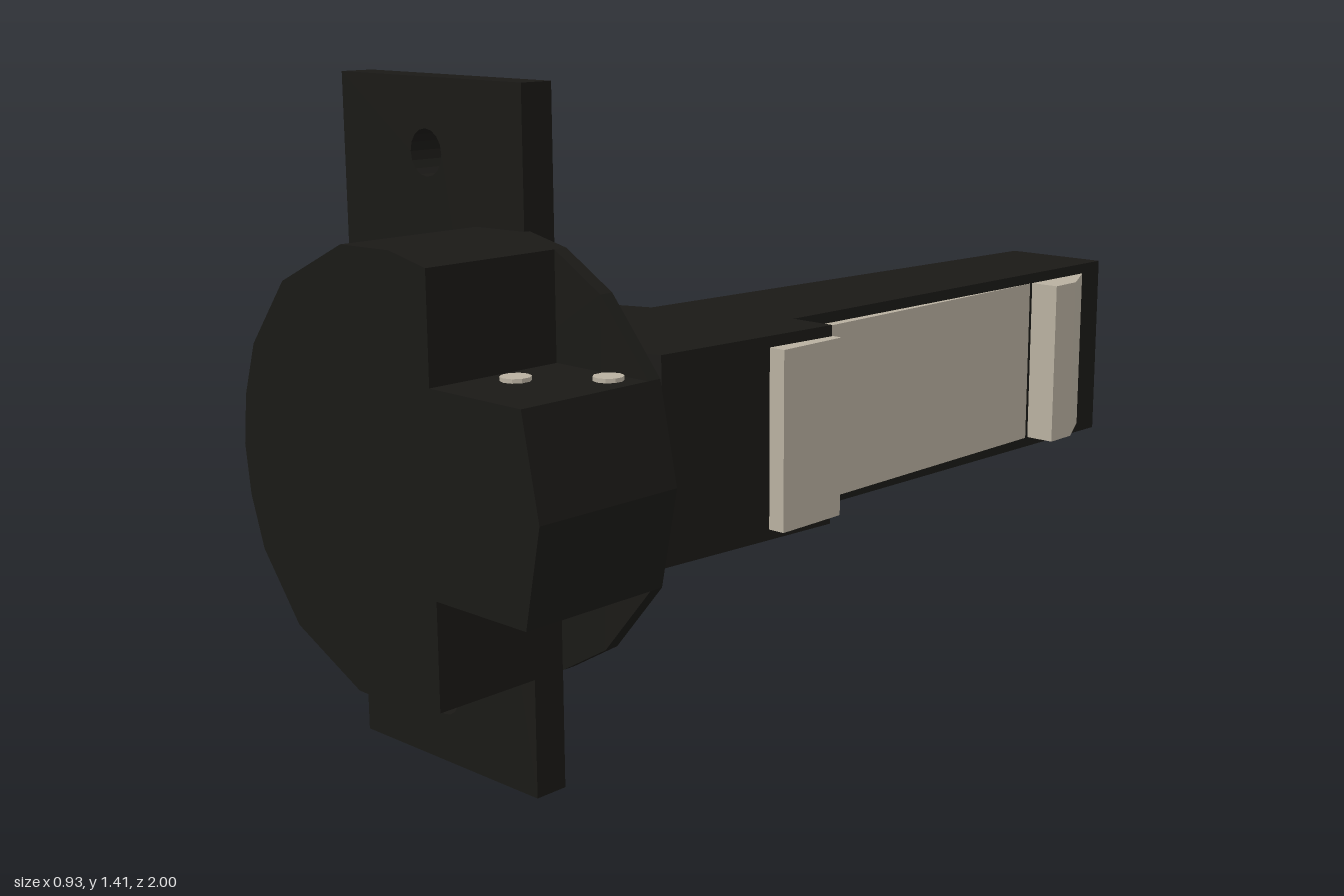
import * as THREE from 'three';

const dark = new THREE.MeshStandardMaterial({ color: 0x1a1916, flatShading: true });
const beige = new THREE.MeshStandardMaterial({ color: 0xb8b0a0, flatShading: true });
const MID = 0.708;

const shapeOf = (pts) => new THREE.Shape(pts.map(([x, y]) => new THREE.Vector2(x, y)));

export function createModel() {
  const model = new THREE.Group();

  const add = (name, geometry, material) => {
    const mesh = new THREE.Mesh(geometry, material);
    mesh.name = name;
    model.add(mesh);
    return mesh;
  };
  // Outline drawn in x, y and pushed along z
  const frontExtrude = (name, shape, z0, z1, material) => {
    const geo = new THREE.ExtrudeGeometry(shape, { depth: z1 - z0, bevelEnabled: false, curveSegments: 8 });
    return add(name, geo.translate(0, 0, z0), material);
  };
  // Outline drawn in x, z and pushed up along y
  const planExtrude = (name, pts, y0, y1, material) => {
    const shape = shapeOf(pts.map(([x, z]) => [x, -z]));
    const geo = new THREE.ExtrudeGeometry(shape, { depth: y1 - y0, bevelEnabled: false });
    return add(name, geo.rotateX(-Math.PI / 2).translate(0, y0, 0), material);
  };

  // Mounting plate with two screw holes
  const plate = shapeOf([[-0.465, 0], [0.078, 0], [0.078, 1.412], [-0.465, 1.412]]);
  for (const y of [0.15, 1.265]) {
    const hole = new THREE.Path();
    hole.absarc(-0.205, y, 0.047, 0, Math.PI * 2, true);
    plate.holes.push(hole);
  }
  frontExtrude('mountingPlate', plate, 0.607, 0.682, dark);

  // Cup: upper half outlines, mirrored about the middle height
  const mirrored = (pts) => [
    ...pts.map(([x, h]) => [x, MID + h]),
    ...pts.filter(([, h]) => h > 0).reverse().map(([x, h]) => [x, MID - h]),
  ];
  const leftArc = [[0.18, 0.407], [0.08, 0.428], [-0.06, 0.425], [-0.245, 0.338],
    [-0.35, 0.205], [-0.385, 0.1], [-0.397, 0]];
  const fullArc = [[0.46, 0], [0.42, 0.195], [0.3, 0.337], ...leftArc];
  const ordered = (arc) => {
    // Start and end on the middle line, so the lower half closes the loop
    const pts = mirrored(arc);
    return shapeOf(pts);
  };
  frontExtrude('cupBack', ordered(fullArc), 0.67, 0.7, dark);
  frontExtrude('cupBody', ordered([[0.46, 0], [0.42, 0.195], [0.18, 0.195], ...leftArc]), 0.69, 1, dark);

  // Pins through the cup tongue
  for (const [x, z] of [[0.36, 0.74], [0.24, 0.853]]) {
    const pin = add('cupPin', new THREE.CylinderGeometry(0.029, 0.029, 0.406, 10), beige);
    pin.position.set(x, MID, z);
  }

  // Tapered arm with its wider root block
  planExtrude('arm', [[0.04, -0.98], [0.286, -0.98], [0.25, 0.11], [0.352, 0.11], [0.314, 0.56],
    [0.078, 0.63], [-0.32, 0.63], [-0.295, 0.3], [-0.058, 0.212]], 0.5, 0.915, dark);
  const pivot = add('pivotPin', new THREE.CylinderGeometry(0.052, 0.052, 0.434, 12), dark);
  pivot.position.set(-0.017, MID, 0.575);

  // Pale inserts on the arm's left side
  planExtrude('sidePanel', [[0.2, 0.12], [0.275, 0.12], [0.278, -0.7], [0.2, -0.7]], 0.522, 0.892, beige);
  planExtrude('rootPad', [[0.3, 0.107], [0.375, 0.107], [0.375, 0.282], [0.3, 0.282]], 0.522, 0.892, beige);
  planExtrude('sideCatch', [[0.24, -0.91], [0.285, -0.91], [0.345, -0.79], [0.345, -0.71], [0.24, -0.71]],
    0.522, 0.892, beige);

  // Latch strip on the arm end
  planExtrude('endLatch', [[0.19, -0.96], [0.19, -1], [0.24, -1], [0.262, -0.975], [0.262, -0.96]],
    0.522, 0.892, beige);

  // Round buttons on the arm's right side, lying on the taper
  const slope = 0.098 / 1.192;
  for (const z of [-0.43, 0.14]) {
    const geo = new THREE.CylinderGeometry(0.1, 0.1, 0.03, 8).rotateZ(Math.PI / 2);
    const button = add('sideButton', geo, beige);
    button.position.set(0.04 - slope * (z + 0.98) + 0.007, MID, z);
    button.rotation.y = -Math.atan(slope);
  }

  return model;
}
